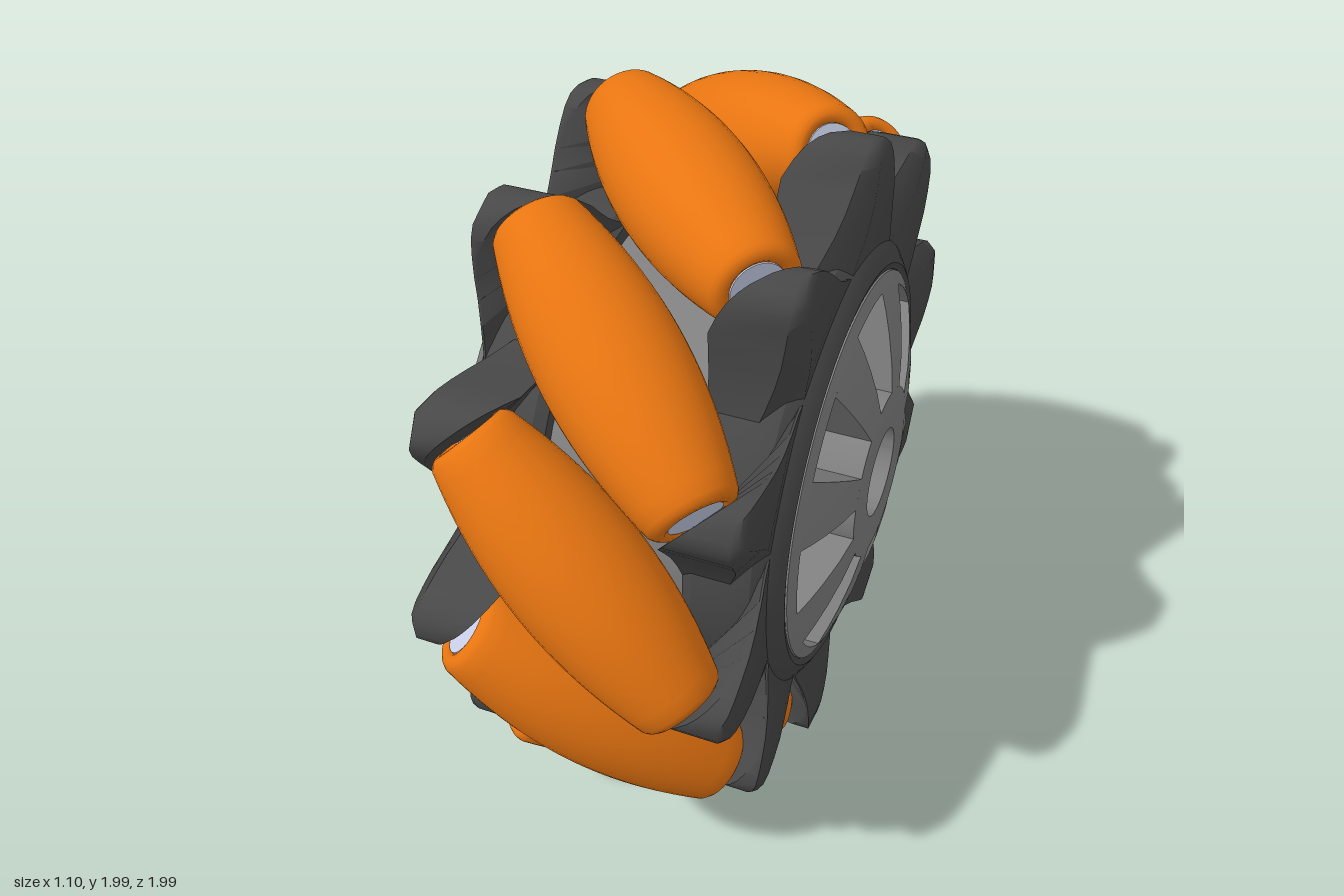
import * as THREE from 'three';
import { toCreasedNormals } from 'three/addons/utils/BufferGeometryUtils.js';

const mat = (color) => new THREE.MeshStandardMaterial({ color, side: THREE.DoubleSide });
const ORANGE = mat(0xe87511), DARK = mat(0x484848), GREY = mat(0x808080), PALE = mat(0xc8d0e8);
const COUNT = 10, CENTRE_X = 0.02, PHASE = THREE.MathUtils.degToRad(10.4);
const D = 0.822, HALF = 0.42; // roller axis distance and half length
const END = HALF * Math.SQRT1_2, TOOTH_ANGLE = -Math.atan2(END, D);

function add(parent, name, geometry, material) {
  const mesh = new THREE.Mesh(geometry, material);
  mesh.name = name;
  parent.add(mesh);
  return mesh;
}

// Turned part; profile is [radius, x] and runs counter-clockwise
function turned(profile, segments = 80, start = 0, length = Math.PI * 2) {
  const pts = profile.map(([r, x]) => new THREE.Vector2(r, x));
  const g = new THREE.LatheGeometry(pts, segments, start, length);
  return toCreasedNormals(g, 0.5).rotateZ(-Math.PI / 2);
}

// Barrel roller with rounded, recessed ends
function rollerGeometry() {
  const end = [[0.07, HALF - 0.03], [0.072, HALF - 0.008], [0.082, HALF], [0.097, HALF], [0.109, HALF - 0.008]];
  const pts = end.map(([r, t]) => [r, -t]);
  for (let i = 0; i <= 20; i++) {
    const t = (i / 10 - 1) * (HALF - 0.02);
    pts.push([1 - Math.sqrt(D * D + 0.64 * t * t), t]);
  }
  pts.push(...end.reverse());
  const curve = pts.map(([r, y]) => new THREE.Vector2(r, y));
  return toCreasedNormals(new THREE.LatheGeometry(curve, 40), 0.9);
}

// Wedge tooth lofted outwards: flat on the outside, its inner face square to the roller axis
function toothGeometry() {
  const sections = [ // radius, half width, outer x
    [0.59, 0.29, 0.41], [0.64, 0.235, 0.415], [0.68, 0.195, 0.422], [0.73, 0.158, 0.428], [0.78, 0.132, 0.432],
    [0.83, 0.109, 0.432], [0.875, 0.087, 0.43], [0.905, 0.065, 0.425], [0.922, 0.042, 0.415], [0.93, 0.02, 0.4],
  ];
  const pos = [], idx = [], sides = 5;
  for (const [r, p, outer] of sections) {
    const inner = (u) => THREE.MathUtils.clamp(END + 0.012 + u, 0.2, outer - 0.006);
    const ring = [[inner(-p), -p], [outer - 0.4 * p, -p], [outer, -0.45 * p], [outer, p], [inner(p), p]];
    for (const [x, u] of ring) {
      const angle = TOOTH_ANGLE + u / r;
      pos.push(x, r * Math.sin(angle), r * Math.cos(angle));
    }
  }
  for (let i = 0; i < sections.length - 1; i++) {
    for (let j = 0; j < sides; j++) {
      const a = i * sides + j, b = i * sides + (j + 1) % sides;
      idx.push(a, b, b + sides, a, b + sides, a + sides);
    }
  }
  const e = (sections.length - 1) * sides;
  for (let j = 1; j < sides - 1; j++) idx.push(e, e + j, e + j + 1);
  const g = new THREE.BufferGeometry();
  g.setAttribute('position', new THREE.Float32BufferAttribute(pos, 3));
  g.setIndex(idx);
  return toCreasedNormals(g, 0.9);
}

// Domed cap with eight wedge-shaped windows
function createCap() {
  const cap = new THREE.Group();
  cap.name = 'domedCap';
  const back = 0.3, open = THREE.MathUtils.degToRad(12.2), step = Math.PI / 4;
  const inner = [[0.125, back], [0.24, back], [0.24, 0.543], [0.18, 0.545], [0.125, 0.545], [0.125, back]];
  const outer = [[0.51, back], [0.545, back], [0.545, 0.464], [0.51, 0.479], [0.51, back]];
  const face = [[0.51, 0.479], [0.46, 0.496], [0.4, 0.513], [0.32, 0.531], [0.24, 0.543]];
  add(cap, 'capCentre', turned(inner), GREY);
  add(cap, 'capRim', turned(outer), GREY);
  const wall = new THREE.Shape([[0.24, back], [0.51, back], ...face].map(([r, x]) => new THREE.Vector2(r, x)));
  for (let i = 0; i < 8; i++) {
    const start = i * step + open, length = step - 2 * open;
    add(cap, 'capSpoke', turned(face, 8, start, length), GREY);
    for (const phi of [start, start + length]) {
      const g = new THREE.ShapeGeometry(wall).rotateY(phi - Math.PI / 2).rotateZ(-Math.PI / 2);
      add(cap, 'windowWall', g, GREY);
    }
  }
  return cap;
}

// Shaft with a bore flattened on two sides
function shaftGeometry() {
  const shape = new THREE.Shape().absarc(0, 0, 0.163, 0, Math.PI * 2);
  const bore = new THREE.Path(), a = Math.acos(0.055 / 0.09);
  bore.absarc(0, 0, 0.09, a, Math.PI - a);
  bore.absarc(0, 0, 0.09, Math.PI + a, -a);
  bore.closePath();
  shape.holes.push(bore);
  const g = new THREE.ExtrudeGeometry(shape, { depth: 0.31, bevelEnabled: false, curveSegments: 32 });
  return toCreasedNormals(g, 0.5).rotateY(-Math.PI / 2).translate(-0.24, 0, 0);
}

export function createModel() {
  const model = new THREE.Group();
  model.name = 'rollerWheel';
  const wheel = new THREE.Group();
  wheel.name = 'wheel';
  wheel.position.y = 1;
  model.add(wheel);

  // Hub
  add(wheel, 'core', turned([[0, -0.23], [0.6, -0.23], [0.6, 0.26], [0.53, 0.3], [0, 0.3]]), GREY);
  add(wheel, 'outerHubRing', turned([
    [0.52, 0.22], [0.64, 0.22], [0.66, 0.25], [0.66, 0.36], [0.65, 0.4], [0.62, 0.432],
    [0.585, 0.455], [0.565, 0.465], [0.547, 0.46], [0.547, 0.28],
  ]), DARK);
  add(wheel, 'innerHubRing', turned([
    [0.5, -0.4], [0.62, -0.4], [0.65, -0.36], [0.66, -0.32], [0.66, -0.21], [0.64, -0.18], [0.52, -0.18],
  ]), DARK);
  add(wheel, 'backPlate', turned([
    [0, -0.26], [0.38, -0.26], [0.47, -0.418], [0.61, -0.418], [0.615, -0.38],
  ]), mat(0x747474));
  wheel.add(createCap());
  add(wheel, 'shaft', shaftGeometry(), GREY);

  // Slanted rollers, each held between two teeth
  const roller = rollerGeometry(), tooth = toothGeometry();
  const pin = toCreasedNormals(new THREE.CylinderGeometry(0.071, 0.071, 2 * HALF - 0.01, 32), 0.5);
  for (let i = 0; i < COUNT; i++) {
    const unit = new THREE.Group();
    unit.name = 'rollerUnit';
    unit.position.x = CENTRE_X;
    unit.rotation.x = -(PHASE + i * Math.PI * 2 / COUNT);
    for (const [name, g, m] of [['roller', roller, ORANGE], ['rollerPin', pin, PALE]]) {
      const mesh = add(unit, name, g, m);
      mesh.position.z = D;
      mesh.rotation.z = Math.PI / 4;
    }
    add(unit, 'outerTooth', tooth, DARK);
    add(unit, 'innerTooth', tooth, DARK).rotation.z = Math.PI;
    wheel.add(unit);
  }
  return model;
}
